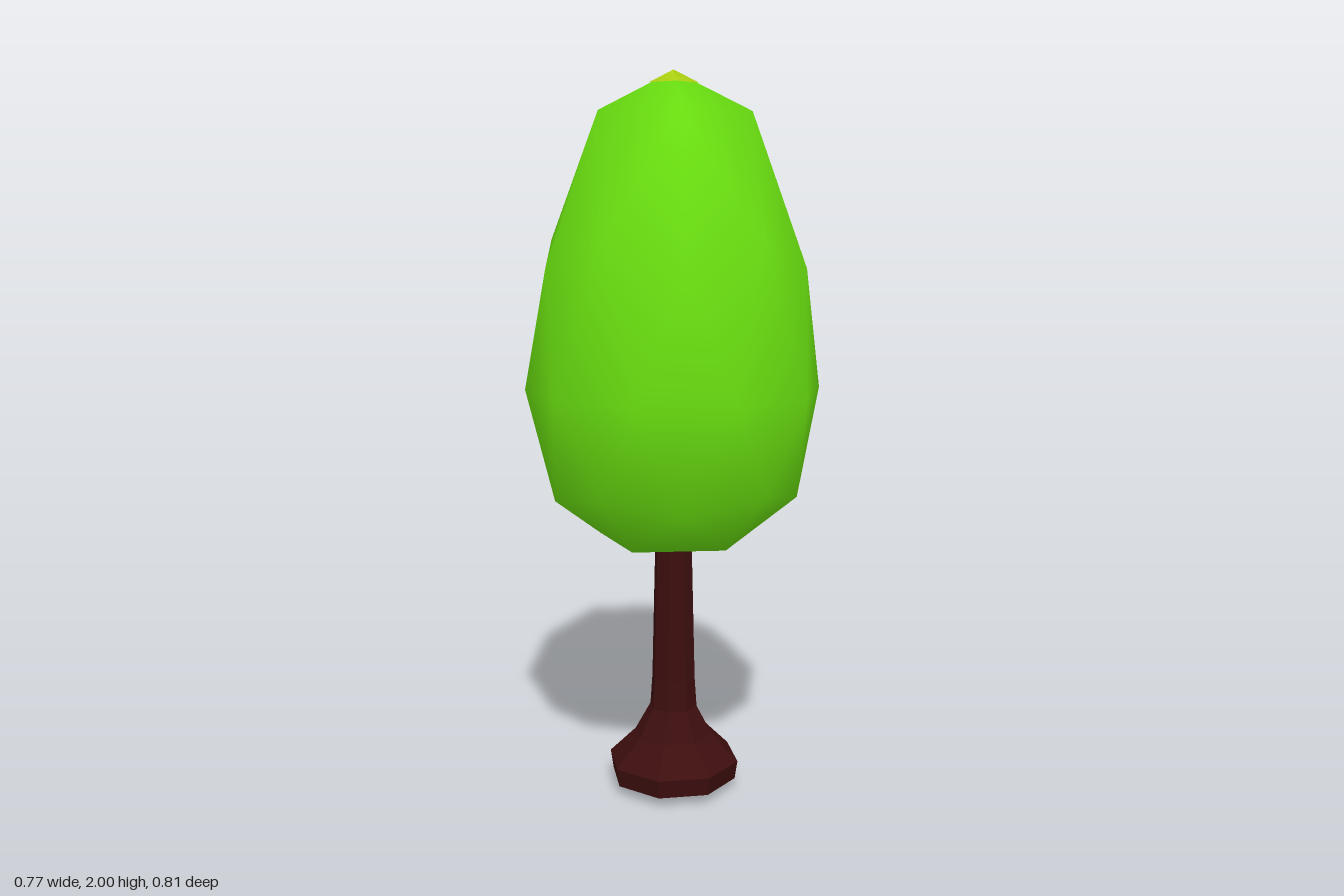
import * as THREE from 'three';
import { mergeVertices } from 'three/addons/utils/BufferGeometryUtils.js';

const material = (name, color, flatShading = false) => {
  const m = new THREE.MeshStandardMaterial({ color, flatShading });
  m.name = name;
  return m;
};

const part = (name, geometry, mat) => {
  const mesh = new THREE.Mesh(geometry, mat);
  mesh.name = name;
  return mesh;
};

// Heights of the crown's vertex rings: [height on unit sphere, height on crown]
const RINGS = [
  [-1, 0.69], [-0.851, 0.73], [-0.526, 0.86], [-0.447, 0.9], [0, 1.15],
  [0.447, 1.48], [0.526, 1.555], [0.851, 1.89], [1, 1.998],
];

function crownHeight(y) {
  let i = 0;
  while (i < RINGS.length - 2 && y > RINGS[i + 1][0]) i++;
  const [a, ya] = RINGS[i], [b, yb] = RINGS[i + 1];
  return THREE.MathUtils.mapLinear(y, a, b, ya, yb);
}

// Egg-shaped crown: a faceted ball with one corner up, stretched ring by ring
function crownGeometry() {
  let geo = new THREE.IcosahedronGeometry(1, 1);
  geo.deleteAttribute('uv');
  geo.deleteAttribute('normal');
  geo.rotateX(-Math.atan((1 + Math.sqrt(5)) / 2));
  geo.rotateY(Math.PI / 2);
  geo = mergeVertices(geo);
  const p = geo.attributes.position;
  for (let i = 0; i < p.count; i++) {
    p.setXYZ(i, p.getX(i) * 0.407, crownHeight(p.getY(i)), p.getZ(i) * 0.407);
  }
  geo.computeVertexNormals();
  return geo;
}

export function createModel() {
  const tree = new THREE.Group();
  tree.name = 'tree';
  const leaf = material('leafGreen', 0x6ae010);
  const tip = material('tipYellowGreen', 0xa8cc10);
  const bark = material('barkBrown', 0x3d0e0e, true);

  // Eight-sided trunk with a flared foot and a slightly pointed underside
  const profile = [
    [0, 0], [0.18, 0.028], [0.188, 0.08], [0.112, 0.155],
    [0.068, 0.235], [0.062, 0.32], [0.052, 0.74], [0, 0.76],
  ].map(([r, y]) => new THREE.Vector2(r, y));
  tree.add(part('trunk', new THREE.LatheGeometry(profile, 8), bark));

  tree.add(part('crown', crownGeometry(), leaf));

  // Pale tip lying on the five top faces
  const cap = new THREE.ConeGeometry(0.071, 0.036, 5, 1, true);
  cap.rotateY(Math.PI / 2);
  cap.translate(0, 2.001 - 0.018, 0);
  tree.add(part('crownTip', cap, tip));

  return tree;
}
